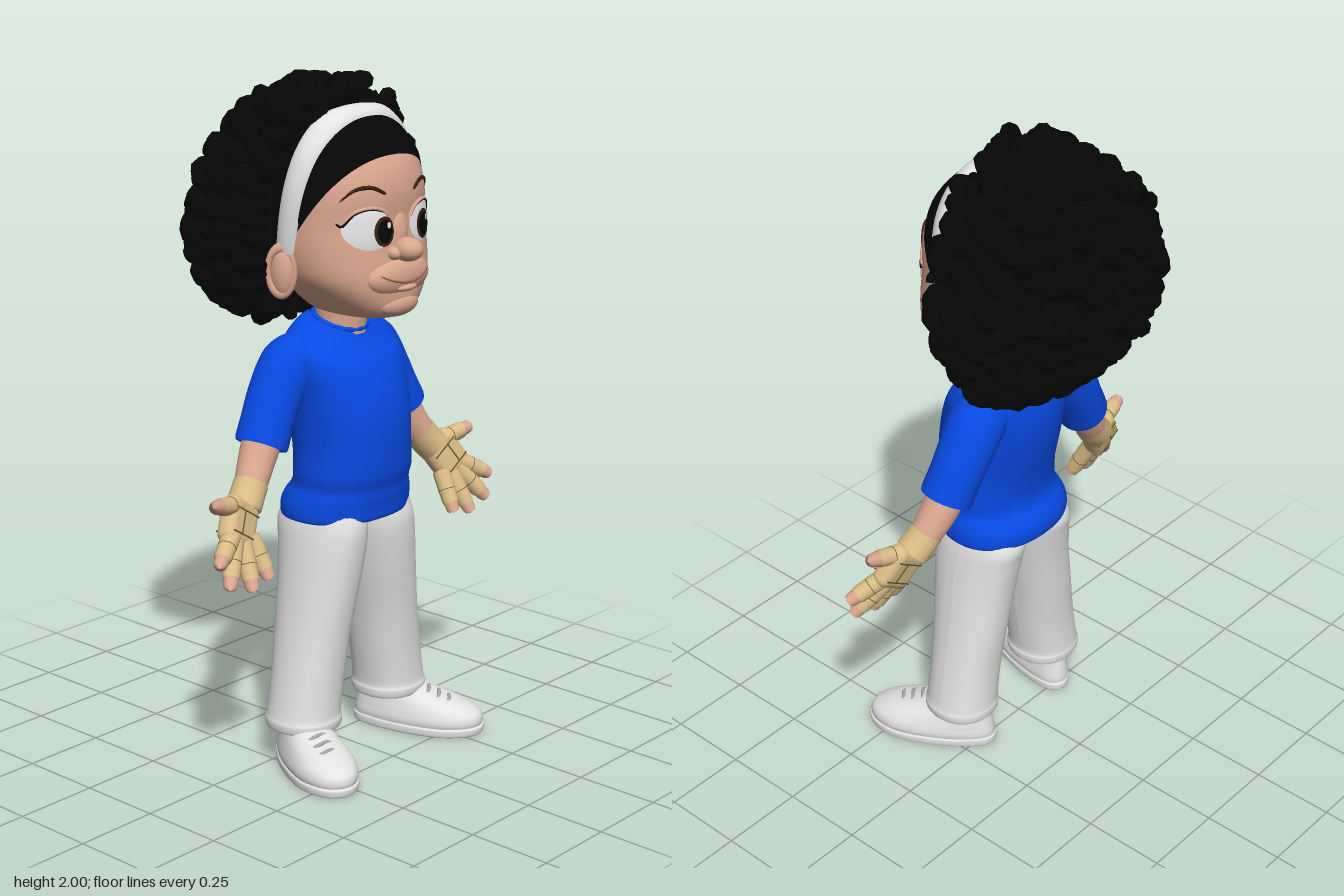
import * as THREE from 'three';
import { mergeGeometries } from 'three/addons/utils/BufferGeometryUtils.js';
import { RoundedBoxGeometry } from 'three/addons/geometries/RoundedBoxGeometry.js';

const V = (x, y, z) => new THREE.Vector3(x, y, z);
const material = (name, color) => Object.assign(new THREE.MeshStandardMaterial({ color, side: THREE.DoubleSide }), { name });
const N = 2.2; // roundness of cross-sections

// Smooth profile through rows of [halfWidth, y, zFront, zBack, centreX]
function profile(rows) {
  const a = new THREE.CatmullRomCurve3(rows.map(r => V(r[0], r[1], r[2])), false, 'catmullrom');
  const b = new THREE.CatmullRomCurve3(rows.map(r => V(r[3], r[4] || 0, 0)), false, 'catmullrom');
  return t => {
    const p = a.getPoint(t), q = b.getPoint(t);
    return { w: Math.max(p.x, 0.001), y: p.y, zc: (p.z + q.x) / 2, d: Math.max((p.z - q.x) / 2, 0.001), cx: q.y };
  };
}

// Grid of points joined into a surface
function gridGeometry(nu, nv, at) {
  const pos = [], idx = [];
  for (let i = 0; i <= nu; i++) for (let j = 0; j <= nv; j++) pos.push(...at(i / nu, j / nv).toArray());
  for (let i = 0; i < nu; i++) for (let j = 0; j < nv; j++) {
    const a = i * (nv + 1) + j, c = a + nv + 1;
    idx.push(a, c, a + 1, a + 1, c, c + 1);
  }
  const g = new THREE.BufferGeometry();
  g.setAttribute('position', new THREE.Float32BufferAttribute(pos, 3));
  g.setIndex(idx);
  g.computeVertexNormals();
  return g;
}

// Closed body stacked from superellipse sections, optionally bent by a rule
function loft(rows, steps = 40, sides = 40, bend = v => v) {
  const at = profile(rows);
  const pw = v => Math.sign(v) * Math.abs(v) ** (2 / N);
  return gridGeometry(steps + 2, sides, (u, v) => {
    const i = Math.round(u * (steps + 2)), s = at(Math.min(Math.max((i - 1) / steps, 0), 1));
    const k = i === 0 || i === steps + 2 ? 0 : 1, a = v * Math.PI * 2;
    return bend(V(s.cx + k * s.w * pw(Math.cos(a)), s.y, s.zc + k * s.d * pw(Math.sin(a))));
  });
}

// Tube with varying radius and rounded ends
function limb(points, radii, seg = 18, sides = 14, k = 14) {
  const curve = new THREE.CatmullRomCurve3(points);
  const g = new THREE.TubeGeometry(curve, seg, 1, sides), p = g.attributes.position, v = V(0, 0, 0);
  for (let i = 0; i <= seg; i++) {
    const t = i / seg, c = curve.getPointAt(t), f = t * (radii.length - 1), n = Math.max(0, Math.min(Math.floor(f), radii.length - 2));
    const r = THREE.MathUtils.lerp(radii[n], radii[Math.min(n + 1, radii.length - 1)], f - n) * Math.sqrt(Math.max(0, 1 - Math.abs(2 * t - 1) ** k));
    for (let j = 0; j <= sides; j++) {
      const q = i * (sides + 1) + j;
      v.fromBufferAttribute(p, q).sub(c).multiplyScalar(r).add(c);
      p.setXYZ(q, v.x, v.y, v.z);
    }
  }
  return g;
}
const ball = (c, r) => new THREE.SphereGeometry(1, 28, 20).scale(...r).translate(...c);

export function createModel() {
  const model = new THREE.Group();
  const skin = material('skin', 0xdaa68e), hair = material('black hair', 0x060606), cloth = material('white cloth', 0xe3e3e3);
  const blue = material('blue shirt', 0x0849e2), tan = material('tan glove', 0xdabd87), seam = material('glove seam', 0x6b5530);
  const eyeWhite = material('eye white', 0xf2f2f2), brown = material('dark brown', 0x3a2016), lip = material('lip', 0xa8664f), lace = material('grey lace', 0xa9a9a9);
  const add = (name, geo, mat) => {
    const m = new THREE.Mesh(geo, mat);
    m.name = name;
    model.add(m);
    return m;
  };

  // Head
  const headRows = [[.02, 1.326, .17, .02], [.08, 1.33, .24, -.02], [.125, 1.35, .274, -.05], [.175, 1.395, .284, -.08], [.215, 1.45, .28, -.1],
    [.232, 1.52, .27, -.13], [.235, 1.6, .26, -.15], [.232, 1.68, .262, -.16], [.22, 1.745, .248, -.16], [.2, 1.8, .218, -.15],
    [.165, 1.85, .175, -.12], [.11, 1.886, .13, -.06], [.01, 1.902, .05, .03]];
  const headAt = profile(headRows);
  add('head', loft(headRows, 60, 56), skin);
  const section = y => {
    let a = 0, b = 1;
    for (let i = 0; i < 24; i++) { const m = (a + b) / 2; if (headAt(m).y < y) a = m; else b = m; }
    return headAt(a);
  };
  const faceZ = (x, y) => {
    const s = section(y);
    return s.zc + s.d * Math.max(0, 1 - Math.min(1, Math.abs(x) / s.w) ** N) ** (1 / N);
  };
  const onFace = (pts, off) => pts.map(([x, y]) => V(x, y, faceZ(x, y) + off));
  add('nose', mergeGeometries([ball([0, 1.528, .288], [.04, .034, .047]), ball([0, 1.56, .243], [.04, .08, .032]),
    ball([.034, 1.52, .268], [.024, .02, .026]), ball([-.034, 1.52, .268], [.024, .02, .026])]), skin);
  add('muzzle', mergeGeometries([ball([0, 1.45, .25], [.125, .06, .046]), ball([0, 1.372, .25], [.08, .038, .04]), ball([0, 1.421, .286], [.04, .011, .014])]), skin);
  const smile = [-.105, -.06, 0, .06, .105].map(x => V(x, 1.438 + 2.6 * x * x,
    Math.max(faceZ(x, 1.445) + .002, .251 + .046 * Math.sqrt(Math.max(0, 1 - x * x / .0156)))));
  add('mouth', limb(smile, [.002, .004, .002], 24, 8), lip);

  // Eyes laid on the face, with lids and brows
  for (const s of [1, -1]) {
    const ex = s * .108, ey = 1.592, ix = s > 0 ? .1 : -.07;
    const patch = (cx, cy, rx, ry, off) => {
      const g = new THREE.RingGeometry(0.001, 1, 36, 6), p = g.attributes.position;
      for (let i = 0; i < p.count; i++) {
        const x = cx + rx * p.getX(i), y = cy + ry * p.getY(i);
        const bulge = Math.max(0, 1 - ((x - ex) / .075) ** 2 - ((y - ey) / .06) ** 2);
        p.setXYZ(i, x, y, faceZ(x, y) + .01 * bulge + off);
      }
      g.computeVertexNormals();
      return g;
    };
    add('eyeWhite', patch(ex, ey, .072, .057, .003), eyeWhite);
    add('iris', patch(ix, 1.584, .037, .042, .005), brown);
    add('pupil', patch(ix, 1.584, .028, .032, .0065), hair);
    add('eyeGlint', patch(ix + .013, 1.601, .008, .009, .008), eyeWhite);
    const lid = [.08, .3, .5, .7, .92].map(f => [ex - s * .074 * Math.cos(f * Math.PI), ey + .058 * Math.sin(f * Math.PI)]);
    add('upperLid', limb(onFace(lid, .001), [.006], 20, 8), skin);
    add('lashLine', limb(onFace([...lid.slice(1).map(([x, y]) => [x, y - .003]), [ex + s * .083, ey + .022]], .005), [.0015, .004], 20, 6), hair);
    add('eyebrow', limb(onFace([[s * .055, 1.684], [s * .1, 1.706], [s * .145, 1.702], [s * .182, 1.67]], .001), [.005, .006, .002], 16, 8), brown);
    // Ears
    add('ear', ball([s * .237, 1.465, .035], [.03, .075, .04]), skin);
    add('earRim', new THREE.TorusGeometry(.05, .012, 10, 28).scale(.75, 1.3, 1).rotateY(s * 1.0).translate(s * .247, 1.47, .04), skin);
  }

  // Front hair and headband follow the skull in tilted arches
  const arch = (z0, slope, phi, off) => {
    let a = 0, b = .45;
    const at = r => V(r * Math.cos(phi), 1.6 + r * Math.sin(phi), z0 + slope * r * Math.sin(phi));
    for (let i = 0; i < 22; i++) {
      const p = at((a + b) / 2), s = section(p.y);
      const inside = p.y < 1.902 && Math.abs(p.x / s.w) ** N + Math.abs((p.z - s.zc) / s.d) ** N < 1;
      if (inside) a = (a + b) / 2; else b = (a + b) / 2;
    }
    return at(a + off);
  };
  const strip = (z1, s1, z2, s2, low, off) => gridGeometry(16, 56, (u, v) =>
    arch(z1 + (z2 - z1) * u, s1 + (s2 - s1) * u, -low + v * (Math.PI + 2 * low), off(u)));
  add('frontHair', strip(.1, .7, .02, .1, .22, u => .001 + .006 * Math.min(1, u * 5)), hair);
  add('crownHair', strip(.03, .15, -.1, -.1, .22, () => .009), hair);
  add('headband', strip(.094, .2, .022, .16, .32, u => .004 + .016 * Math.sin(u * Math.PI) ** .5), cloth);

  // Curly hair: full core covered with wavy locks
  let seed = 7;
  const rnd = () => (seed = (seed * 16807) % 2147483647) / 2147483647;
  const pw = (v, e) => Math.sign(v) * Math.abs(v) ** e;
  const shape = d => {
    const taper = 1 - .2 * d.y;
    return V(.325 * pw(d.x, .85) * taper, 1.63 + .28 * d.y, -.115 + .04 * Math.max(0, d.y) + .145 * pw(d.z, .85) * taper);
  };
  const core = new THREE.SphereGeometry(1, 40, 30), cp = core.attributes.position;
  for (let i = 0; i < cp.count; i++) cp.setXYZ(i, ...shape(V(0, 0, 0).fromBufferAttribute(cp, i)).toArray());
  core.computeVertexNormals();
  add('hairCore', core, hair);
  const roots = [];
  for (let i = 0; i < 200; i++) {
    const y = 1 - 2 * (i + .5) / 200, a = i * 2.39996, r = Math.sqrt(1 - y * y);
    const d = V(r * Math.cos(a), y, r * Math.sin(a)), p = shape(d);
    if (p.z > -.06 && Math.abs(p.x) < .29 && p.y < 1.84) continue;
    roots.push([p, V(d.x / .34, d.y / .3, d.z / .17).normalize()]);
  }
  for (let i = 0; i <= 16; i++) { // fringe standing behind the headband
    const a = -.45 + i / 16 * (Math.PI + .9), n = V(Math.cos(a), Math.sin(a), .1).normalize();
    roots.push([V((.305 - .04 * n.y) * n.x, 1.63 + .3 * n.y, -.025 + .045 * n.y), n]);
  }
  const locks = roots.map(([p, n]) => {
    const down = V(rnd() - .5, -1, rnd() - .5), t = down.addScaledVector(n, -down.dot(n)).normalize(), b = n.clone().cross(t);
    const len = .11 + .05 * rnd(), amp = .026 + .022 * rnd(), ph = rnd() * 6.28, pts = [], lift = .01 + .022 * rnd();
    for (let k = 0; k <= 6; k++) pts.push(p.clone().addScaledVector(t, len * (k / 6 - .5))
      .addScaledVector(b, amp * Math.sin(ph + k * 1.6)).addScaledVector(n, lift + .03 * Math.cos(ph + k * 1.6)));
    return limb(pts, [.03, .034, .022], 20, 8, 4);
  });
  add('curls', mergeGeometries(locks), hair);

  // Neck, shirt and hips
  add('neck', limb([V(0, 1.2, .04), V(0, 1.3, .04), V(0, 1.42, .05)], [.085, .074, .075]), skin);
  const scoop = v => V(v.x, v.y - Math.max(0, v.y - 1.2) * (v.z - .03) * 3.2, v.z); // neckline dips at the front
  add('shirt', loft([[.19, .732, .2, -.09], [.205, .738, .216, -.1], [.205, .77, .22, -.102], [.197, .8, .224, -.09], [.185, .83, .226, -.068], [.186, .87, .236, -.062], [.179, .94, .24, -.072],
    [.18, 1.03, .238, -.092], [.187, 1.11, .22, -.102], [.2, 1.18, .188, -.1], [.195, 1.235, .15, -.085], [.14, 1.282, .118, -.06], [.077, 1.303, .105, -.035]], 64, 48, scoop), blue);
  add('collar', new THREE.TorusGeometry(.077, .009, 10, 36).rotateX(Math.PI / 2 + .32).translate(0, 1.298, .036), blue);
  add('hips', loft([[.04, .69, .11, .02], [.13, .715, .17, -.05], [.18, .745, .19, -.075], [.18, .8, .19, -.06]], 20), cloth);

  for (const s of [1, -1]) {
    const P = (x, y, z) => V(s * x, y, z);
    // Sleeve and arm
    add('sleeve', limb([P(.09, 1.22, .005), P(.17, 1.185, 0), P(.235, 1.1, 0), P(.308, .965, .012)], [.06, .084, .08, .076, .078], 30, 24, 40), blue);
    add('arm', limb([P(.26, 1.06, .005), P(.32, .95, .015), P(.378, .862, .035)], [.06, .055, .046], 18, 18), skin);

    // Glove with bare fingertips
    const up = P(-.11, .17, -.06).normalize(), out = P(.84, .54, 0);
    const lat = out.addScaledVector(up, -out.dot(up)).normalize(), nor = lat.clone().cross(up);
    const handFrame = new THREE.Matrix4().makeBasis(lat, up, nor).setPosition(s * .45, .793, .062);
    const inHand = g => g.applyMatrix4(handFrame);
    add('glovePalm', inHand(new RoundedBoxGeometry(.125, .14, .062, 4, .028)), tan);
    add('gloveCuff', limb([P(.362, .887, .03), P(.385, .857, .037), P(.415, .825, .048)], [.05, .05, .052], 16, 18, 30), tan);
    const palmLines = [];
    for (const z of [.0312, -.0312]) palmLines.push(new THREE.BoxGeometry(.1, .004, .003).translate(0, .03, z),
      new THREE.BoxGeometry(.1, .004, .003).translate(0, -.038, z), new THREE.BoxGeometry(.004, .068, .003).translate(.012, -.004, z));
    add('gloveSeams', inHand(mergeGeometries(palmLines)), seam);
    const digits = [[[.485, .775, .075], [.596, .712, .13]], [[.487, .748, .082], [.566, .643, .142]], [[.455, .735, .085], [.48, .617, .148]],
      [[.417, .745, .08], [.406, .633, .14]], [[.42, .835, .05], [.562, .866, .075]]];
    for (const [a, b] of digits) {
      const A = P(...a), B = P(...b), at = t => A.clone().lerp(B, t);
      add('fingertip', limb([at(.5), at(.8), at(1)], [.022, .022, .019], 14, 12, 6), skin);
      add('gloveFinger', limb([at(-.1), at(.4), at(.8)], [.028, .027, .025], 14, 12, 20), tan);
      add('fingerSeam', limb([at(.4), at(.415), at(.43)], [.0274], 4, 12, 20), seam);
    }

    // Trouser leg
    add('trouserLeg', loft([[.095, .115, .16, -.03, s * .19], [.106, .118, .172, -.04, s * .19], [.109, .14, .176, -.043, s * .19], [.104, .165, .171, -.04, s * .188],
      [.102, .27, .172, -.04, s * .171], [.1, .4, .18, -.05, s * .15], [.102, .55, .196, -.062, s * .124], [.102, .66, .207, -.078, s * .107],
      [.097, .72, .207, -.086, s * .1], [.088, .78, .19, -.06, s * .09]], 50, 36), cloth);

    // Shoe, splayed outward
    const shoe = new THREE.Group();
    shoe.name = 'shoe';
    shoe.position.set(s * .188, 0, .038);
    shoe.rotation.y = s * .4;
    const flare = v => V(v.x * (.84 + 1.1 * Math.max(0, Math.min(v.z + .02, .24))), v.y, v.z);
    shoe.add(add('shoeUpper', loft([[.084, .015, .315, -.078], [.09, .04, .322, -.079], [.086, .065, .31, -.075], [.078, .09, .262, -.07],
      [.07, .114, .185, -.066], [.062, .145, .11, -.06]], 30, 40, flare), cloth));
    shoe.add(add('shoeSole', loft([[.086, 0, .318, -.08], [.091, .005, .324, -.083], [.092, .022, .326, -.084], [.088, .028, .32, -.08]], 14, 40, flare), cloth));
    for (let i = 0; i < 4; i++) {
      const z = .12 + i * .032, y = .134 - i * .0115;
      shoe.add(add('lace', limb([V(-.05, y - .02, z), V(-.016, y + .001, z + .006), V(.016, y + .001, z - .004), V(.05, y - .02, z)], [.006], 14, 8), lace));
    }
    model.add(shoe);
  }
  return model;
}
